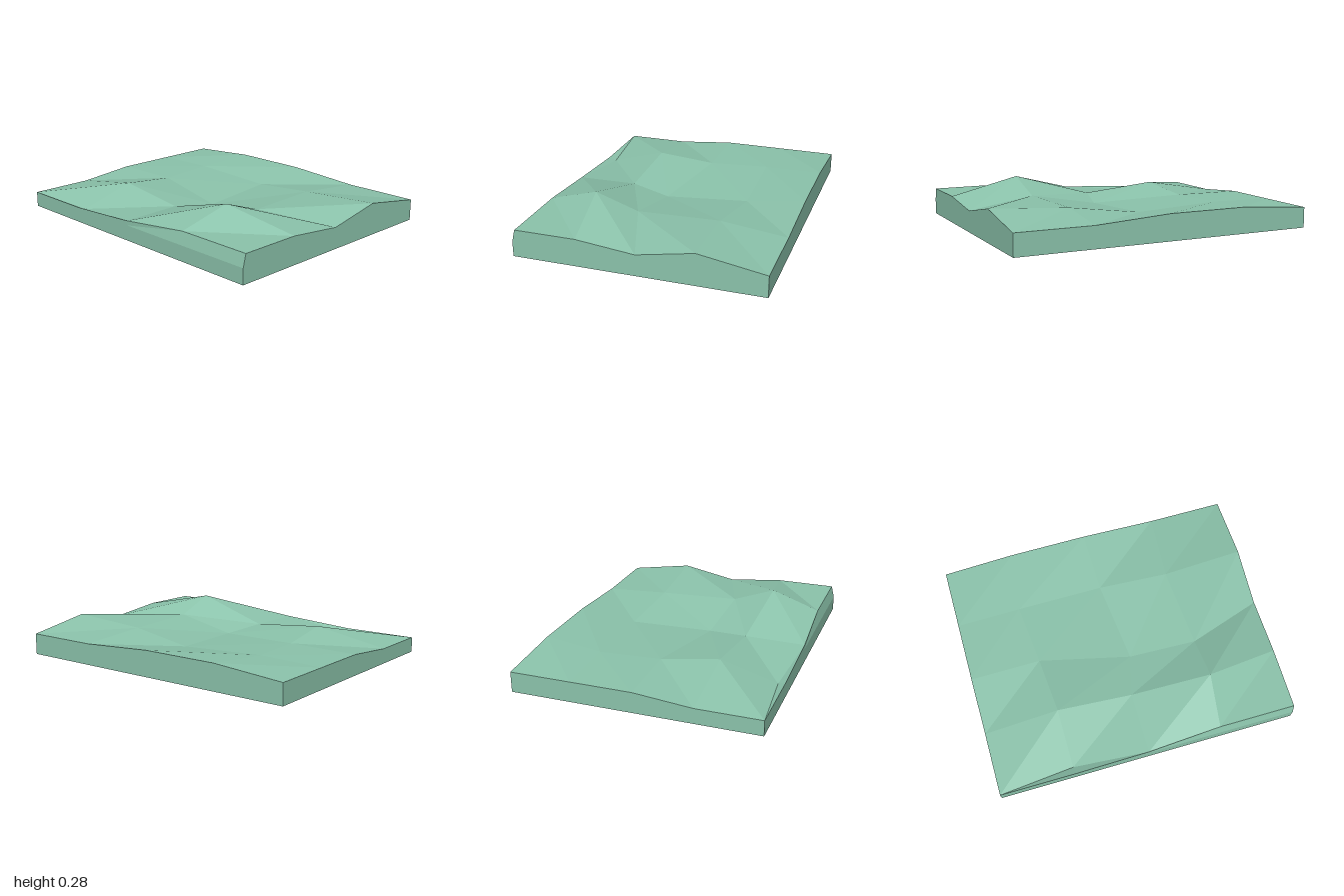
import * as THREE from 'three';

// Terrain control points [x, y, z], rows from back to front, columns from -x to +x
const TERRAIN = [
  [[-0.8, 0.1, -1], [-0.38, 0.1, -1], [0, 0.135, -1], [0.4, 0.135, -1], [0.8, 0.135, -1]],
  [[-0.75, 0.08, -0.5], [-0.38, 0.185, -0.5], [0, 0.14, -0.53], [0.4, 0.145, -0.57], [0.8, 0.17, -0.52]],
  [[-0.8, 0.13, 0], [-0.4, 0.135, 0], [-0.13, 0.105, 0.07], [0.41, 0.12, 0.01], [0.8, 0.17, 0]],
  [[-0.78, 0.18, 0.49], [-0.45, 0.28, 0.52], [-0.17, 0.18, 0.51], [0.36, 0.175, 0.47], [0.8, 0.14, 0.5]],
  [[-0.78, 0.18, 1], [-0.38, 0.18, 1], [0, 0.14, 1], [0.37, 0.21, 1], [0.8, 0.14, 1]],
];
const N = 4;
const LIP = 0.1;

function quadMesh(name, quads, material) {
  const points = quads.flatMap(([a, b, c, d]) => [a, b, c, a, c, d]);
  const geometry = new THREE.BufferGeometry();
  geometry.setAttribute('position', new THREE.Float32BufferAttribute(points.flat(), 3));
  geometry.computeVertexNormals();
  const mesh = new THREE.Mesh(geometry, material);
  mesh.name = name;
  return mesh;
}

export function createModel() {
  const group = new THREE.Group();
  group.name = 'terrainTile';
  const material = new THREE.MeshStandardMaterial({
    color: 0x8cc4ac, flatShading: true, side: THREE.DoubleSide,
  });

  // Uneven ground surface
  const ground = [];
  for (let r = 0; r < N; r++) {
    for (let c = 0; c < N; c++) {
      ground.push([TERRAIN[r][c], TERRAIN[r + 1][c], TERRAIN[r + 1][c + 1], TERRAIN[r][c + 1]]);
    }
  }
  group.add(quadMesh('groundSurface', ground, material));

  // Border cells in order: front, right, back, left
  const border = [];
  for (let i = 0; i < N; i++) border.push([N, i]);
  for (let i = 0; i < N; i++) border.push([N - i, N]);
  for (let i = 0; i < N; i++) border.push([0, N - i]);
  for (let i = 0; i < N; i++) border.push([i, 0]);
  const rim = border.map(([r, c]) => TERRAIN[r][c]);
  const ring = (y) => border.map(([r, c], i) => {
    // Follow the surface points along each edge but stay on the rectangle
    const [x, , z] = rim[i];
    return [c === 0 ? -0.8 : c === N ? 0.8 : x, y, r === 0 ? -1 : r === N ? 1 : z];
  });
  const band = (low, high) => low.map((p, i) => {
    const j = (i + 1) % low.length;
    return [p, low[j], high[j], high[i]];
  });

  // Upright sides up to the lip, then the edge band joining the ground
  group.add(quadMesh('slabSides', band(ring(0), ring(LIP)), material));
  group.add(quadMesh('groundEdge', band(ring(LIP), rim), material));

  // Flat underside
  group.add(quadMesh('underside', [[[-0.8, 0, -1], [0.8, 0, -1], [0.8, 0, 1], [-0.8, 0, 1]]], material));
  return group;
}
